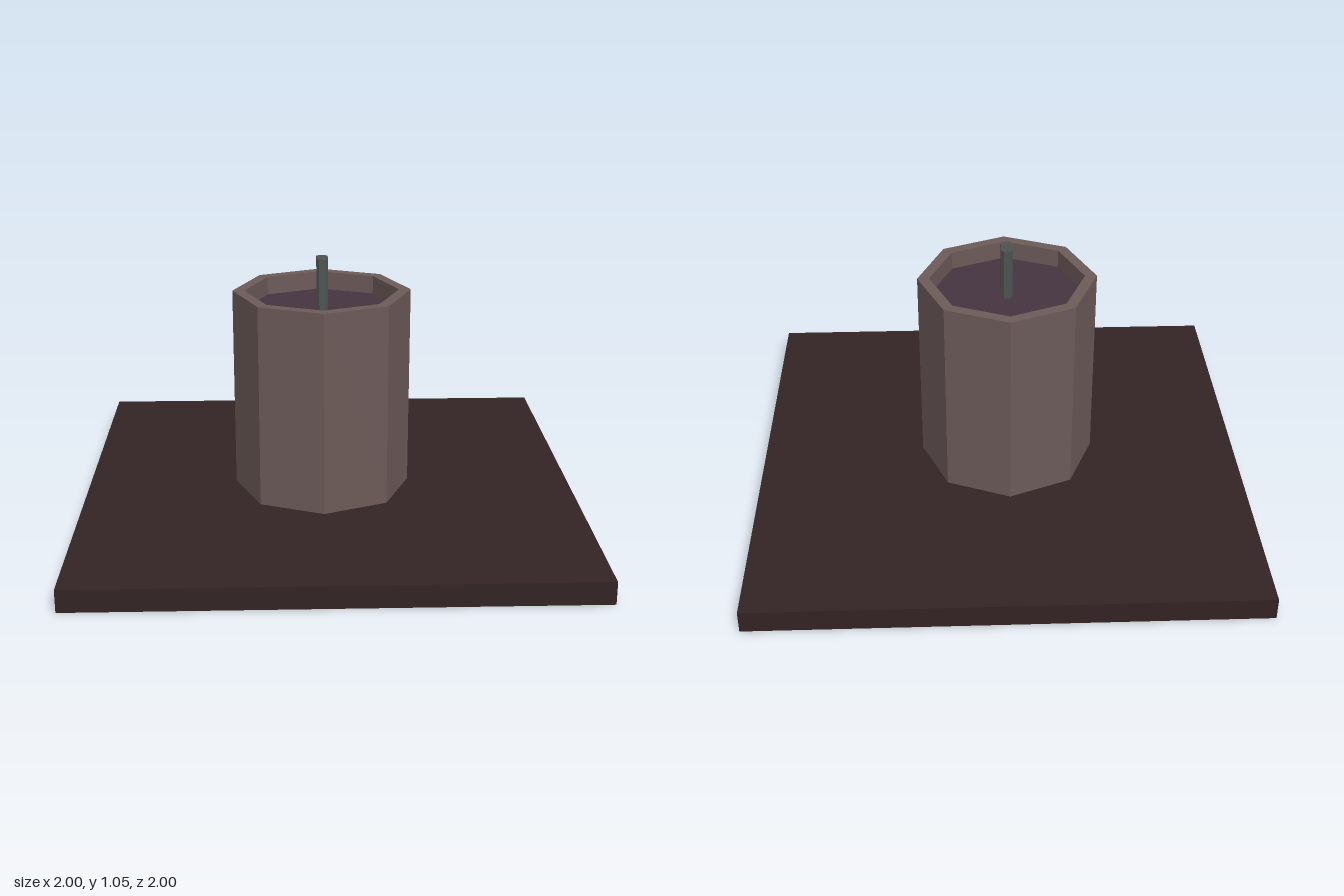
import * as THREE from 'three';

const BASE_H = 0.09, TOP = 0.915, WAX_Y = 0.84, WICK_TOP = 1.05;
const R_OUT = 0.36, R_IN = 0.312, SIDES = 8;

function part(name, geometry, color) {
  const mesh = new THREE.Mesh(geometry, new THREE.MeshStandardMaterial({ color, flatShading: true }));
  mesh.name = name;
  return mesh;
}

export function createModel() {
  const model = new THREE.Group();
  model.name = 'candleOnBoard';

  // square board
  const board = part('board', new THREE.BoxGeometry(2, BASE_H, 2), 0x332324);
  board.position.y = BASE_H / 2;
  model.add(board);

  // candle stands slightly off the board's middle
  const candle = new THREE.Group();
  candle.name = 'candle';
  candle.position.set(-0.03, 0, 0.018);
  model.add(candle);

  // octagonal holder: outer wall, flat rim, inner wall down to the wax
  const profile = [[R_OUT, BASE_H], [R_OUT, TOP], [R_IN, TOP], [R_IN, WAX_Y]]
    .map(([r, y]) => new THREE.Vector2(r, y));
  candle.add(part('holder', new THREE.LatheGeometry(profile, SIDES).toNonIndexed(), 0x6b5a58));

  // wax surface
  const wax = part('wax', new THREE.CircleGeometry(R_IN, SIDES), 0x443441);
  wax.rotation.x = -Math.PI / 2;
  wax.position.y = WAX_Y;
  candle.add(wax);

  // flat wick with chamfered corners
  const a = 0.023, b = 0.043, ca = 0.013, cb = 0.03;
  const outline = [[a, -cb], [a, cb], [ca, b], [-ca, b], [-a, cb], [-a, -cb], [-ca, -b], [ca, -b]]
    .map(([x, y]) => new THREE.Vector2(x, y));
  const wickGeo = new THREE.ExtrudeGeometry(new THREE.Shape(outline), { depth: WICK_TOP - WAX_Y, bevelEnabled: false });
  wickGeo.rotateX(-Math.PI / 2);
  const wick = part('wick', wickGeo, 0x4d5352);
  wick.position.set(0.002, WAX_Y, 0.004);
  candle.add(wick);

  return model;
}
